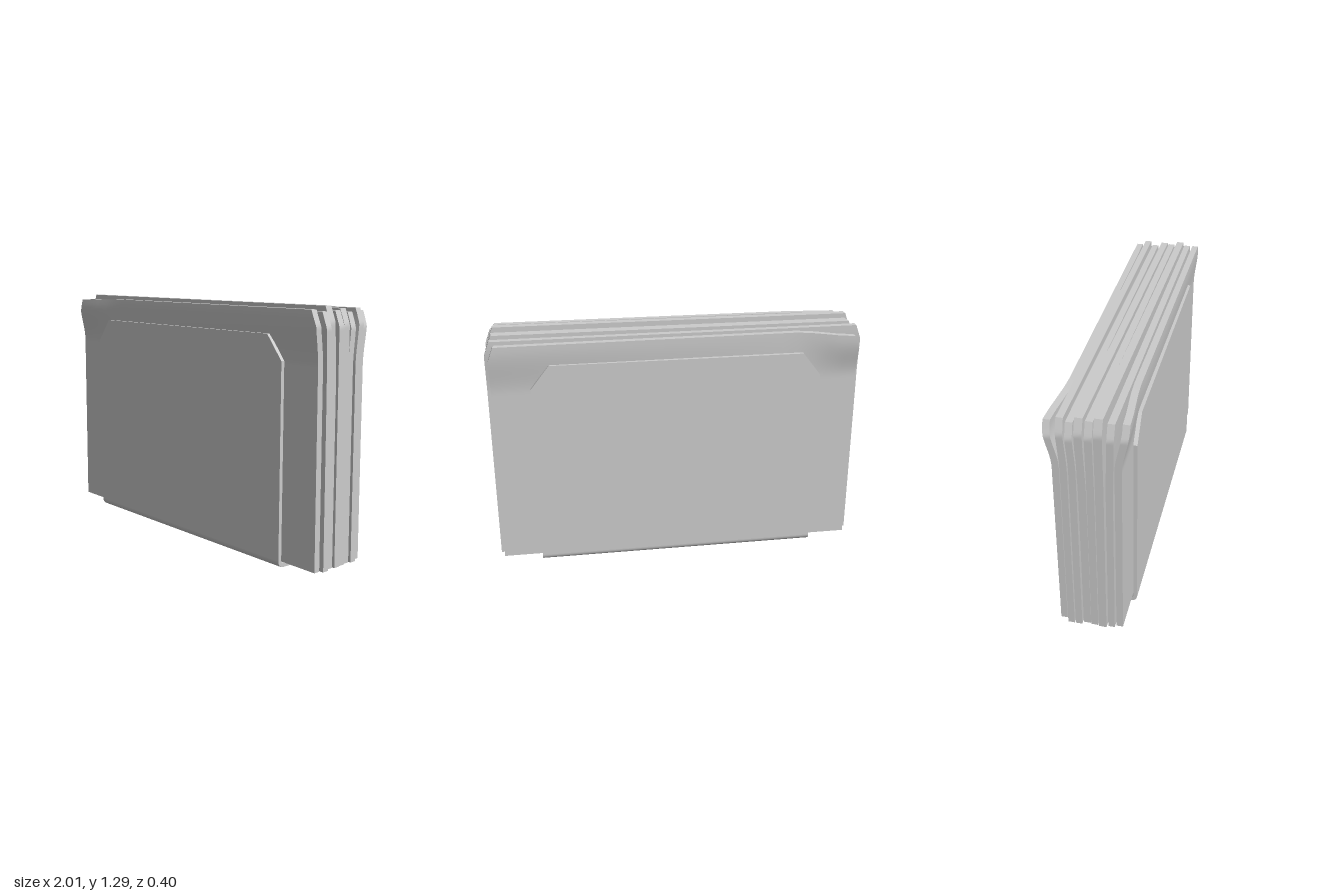
import * as THREE from 'three';
import { toCreasedNormals } from 'three/addons/utils/BufferGeometryUtils.js';

const material = new THREE.MeshStandardMaterial({ color: 0xcccccc });

function addMesh(parent, geometry, name) {
  const mesh = new THREE.Mesh(geometry, material);
  mesh.name = name;
  parent.add(mesh);
  return mesh;
}

// One thick sheet: a segmented box with clipped top corners and a bent top.
function sheetGeometry({ z, thick, left, right, top, bendL, bendR, from, flare = 0 }) {
  const bottom = 0.03;
  const g = new THREE.BoxGeometry(2, 1, thick, 24, 24, 1);
  const p = g.attributes.position;
  const levels = [0, 0.4, 0.7];
  for (let i = 0; i < p.count; i++) {
    const u = (p.getX(i) + 1) / 2;
    // rows: three wide ones below, then closely spaced ones through the bend
    const row = Math.round((p.getY(i) + 0.5) * 24);
    const v = row < 3 ? levels[row] : 0.74 + (row - 3) * 0.26 / 21;
    const y = bottom + v * (top - bottom);
    const clip = Math.max(0, (y - (top - 0.075)) / 0.075);
    const x0 = left - 0.012 * (1 - v) + 0.028 * clip;
    const x1 = right + 0.008 * (1 - v) - 0.028 * clip;
    const x = THREE.MathUtils.lerp(x0, x1, u);
    const bend = THREE.MathUtils.smoothstep(y, from, top - 0.02);
    const corner = THREE.MathUtils.smoothstep(-x, 0.62, 0.96);
    const dz = bend * (THREE.MathUtils.lerp(bendL, bendR, u) + flare * corner);
    // flared corners droop slightly
    const droop = Math.abs(flare) * 0.6 * corner * bend;
    p.setXYZ(i, x, y - droop, z + p.getZ(i) + dz);
  }
  g.computeVertexNormals();
  return g;
}

export function createModel() {
  const model = new THREE.Group();
  model.name = 'sheetHolder';

  // Holder: front and back plates with clipped top corners
  const holder = new THREE.Group();
  holder.name = 'holder';
  model.add(holder);
  const W = 0.768, D = 0.19, T = 0.02, R = 0.035;
  const outline = [[-W, R], [W, R], [W, 1.03], [0.67, 1.155], [-0.67, 1.155], [-W, 1.03]];
  const plateShape = new THREE.Shape(outline.map(([x, y]) => new THREE.Vector2(x, y)));
  for (const [name, z] of [['frontPlate', D - T], ['backPlate', -D]]) {
    const g = new THREE.ExtrudeGeometry(plateShape, { depth: T, bevelEnabled: false });
    addMesh(holder, g, name).position.z = z;
  }

  // Holder: rounded bottom joining both plates
  const r = R - T;
  const trough = new THREE.Shape();
  trough.moveTo(-D, R);
  trough.absarc(-D + R, R, R, Math.PI, Math.PI * 1.5, false);
  trough.absarc(D - R, R, R, Math.PI * 1.5, Math.PI * 2, false);
  trough.lineTo(D - T, R);
  trough.absarc(D - R, R, r, 0, -Math.PI / 2, true);
  trough.absarc(-D + R, R, r, -Math.PI / 2, -Math.PI, true);
  trough.closePath();
  const base = new THREE.ExtrudeGeometry(trough, { depth: 2 * W, bevelEnabled: false, curveSegments: 6 });
  base.translate(0, 0, -W).rotateY(Math.PI / 2);
  addMesh(holder, toCreasedNormals(base, 0.6), 'holderBase');

  // Sheets, front to back
  const sheets = [
    { z: 0.147, thick: 0.034, left: -0.968, right: 0.975, top: 1.28, bendL: 0.012, bendR: 0.02, from: 1.02, flare: 0.021 },
    { z: 0.107, thick: 0.034, left: -0.98, right: 0.995, top: 1.27, bendL: 0.008, bendR: 0.008, from: 0.85 },
    { z: 0.063, thick: 0.04, left: -0.99, right: 0.98, top: 1.295, bendL: -0.002, bendR: 0.012, from: 0.9 },
    { z: 0.02, thick: 0.036, left: -0.985, right: 0.99, top: 1.272, bendL: -0.004, bendR: 0, from: 0.8 },
    { z: -0.02, thick: 0.038, left: -0.98, right: 0.985, top: 1.28, bendL: -0.012, bendR: -0.002, from: 0.8 },
    { z: -0.06, thick: 0.034, left: -0.995, right: 0.98, top: 1.262, bendL: -0.012, bendR: -0.018, from: 1.0 },
    { z: -0.1, thick: 0.034, left: -0.995, right: 0.99, top: 1.28, bendL: -0.014, bendR: -0.024, from: 1.0 },
    { z: -0.145, thick: 0.034, left: -0.97, right: 0.97, top: 1.265, bendL: 0, bendR: -0.027, from: 1.0, flare: -0.038 },
  ];
  const stack = new THREE.Group();
  stack.name = 'sheets';
  model.add(stack);
  sheets.forEach((s, i) => addMesh(stack, sheetGeometry(s), `sheet${i + 1}`));

  return model;
}
